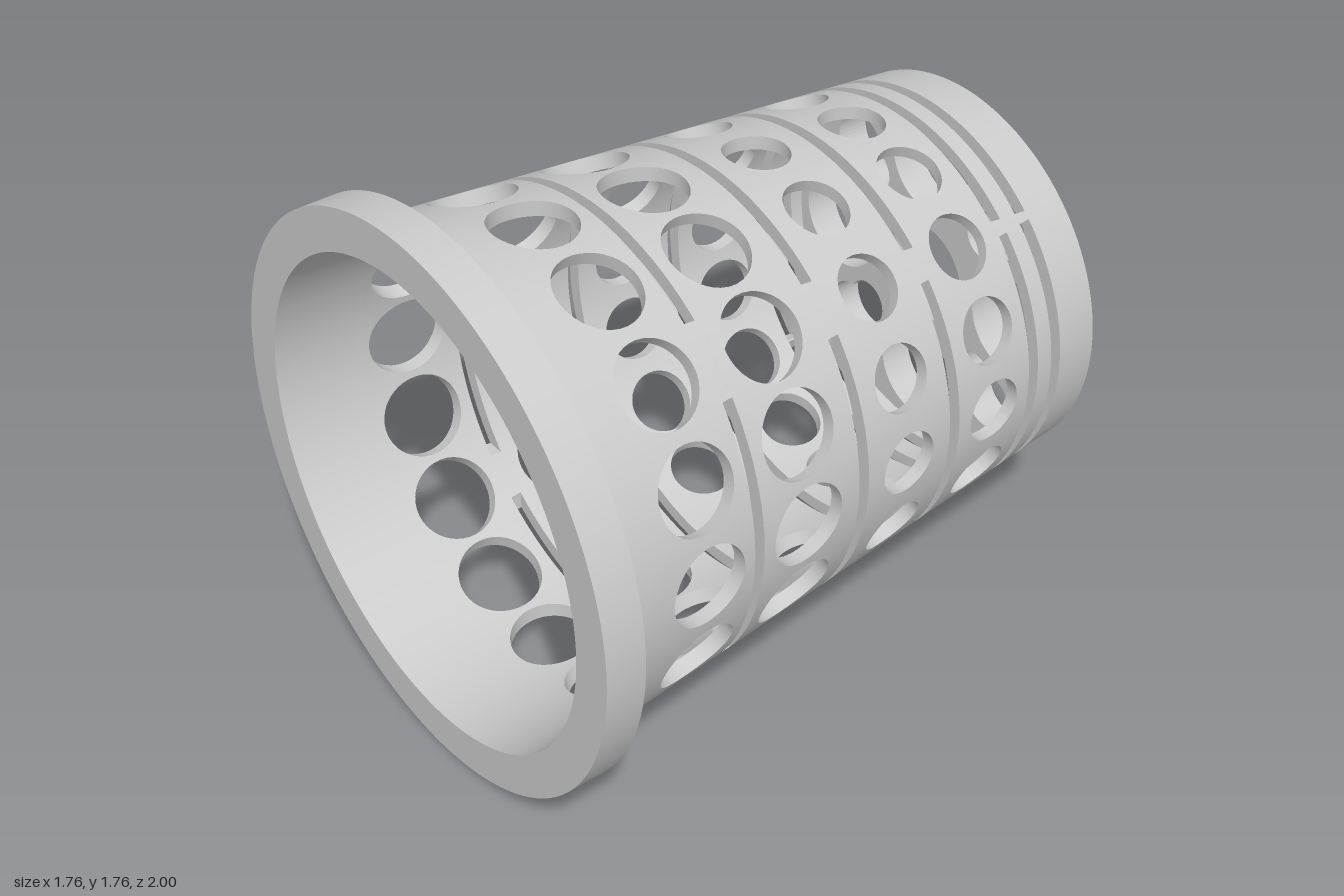
import * as THREE from 'three';
import { toCreasedNormals } from 'three/addons/utils/BufferGeometryUtils.js';

const material = new THREE.MeshStandardMaterial({ color: 0xcccccc });
const SIDE = 12;                        // divisions along each side of a hole cell
const COUNT = 16;                       // holes around each row
const HALF = Math.PI / COUNT;

// Tapered wall: outer and inner radius along the z axis
const outerR = z => 0.713 + 0.088 * z;
const innerR = z => 0.668 + 0.082 * z;
const wall = (R, theta, z) => [R(z) * Math.sin(theta), R(z) * Math.cos(theta), z];

function addMesh(group, geometry, name) {
  const mesh = new THREE.Mesh(toCreasedNormals(geometry, 0.6), material);
  mesh.name = name;
  group.add(mesh);
}

// Collects quads into one geometry
function quadBuilder() {
  const positions = [];
  return {
    quad(a, b, c, d) { positions.push(...a, ...b, ...c, ...a, ...c, ...d); },
    geometry() {
      const g = new THREE.BufferGeometry();
      g.setAttribute('position', new THREE.Float32BufferAttribute(positions, 3));
      return g;
    },
  };
}

// Closed profile of [radius, z] points turned about the z axis
function turned(profile) {
  const points = [...profile, profile[0]].map(([r, z]) => new THREE.Vector2(r, z));
  return new THREE.LatheGeometry(points, COUNT * SIDE).rotateX(Math.PI / 2);
}

const ring = (z0, z1) => turned([[innerR(z0), z0], [outerR(z0), z0], [outerR(z1), z1], [innerR(z1), z1]]);

// Band of the wall pierced by a row of round holes
function perforatedBand(z0, z1, zc, radius) {
  const b = quadBuilder();
  const R = outerR(zc);
  // Outline of one cell, anticlockwise in (angle, z)
  const border = [];
  for (let side = 0; side < 4; side++) {
    for (let i = 0; i < SIDE; i++) {
      const f = i / SIDE, s = (2 * f - 1) * HALF, z = z0 + (z1 - z0) * f;
      border.push([[s, z0], [HALF, z], [-s, z1], [-HALF, z1 + z0 - z]][side]);
    }
  }
  // Point between the hole edge (t = 0) and the cell outline (t = 1)
  const at = (surface, centre, i, t) => {
    const [s, z] = border[i % border.length];
    const a = Math.atan2(z - zc, s * R);
    const hz = zc + radius * Math.sin(a);
    const hs = Math.asin(radius * Math.cos(a) / surface(hz));
    return wall(surface, centre + hs + (s - hs) * t, hz + (z - hz) * t);
  };
  for (let k = 0; k < COUNT; k++) {
    const c = 2 * HALF * k;
    for (let i = 0; i < border.length; i++) {
      const j = i + 1;
      for (const t of [0, 0.5]) {
        const u = t + 0.5;
        b.quad(at(innerR, c, i, t), at(innerR, c, i, u), at(innerR, c, j, u), at(innerR, c, j, t));
        b.quad(at(outerR, c, i, t), at(outerR, c, j, t), at(outerR, c, j, u), at(outerR, c, i, u));
      }
      // Hole lining
      b.quad(at(outerR, c, i, 0), at(innerR, c, i, 0), at(innerR, c, j, 0), at(outerR, c, j, 0));
      // End faces of the band
      if (Math.floor(i / SIDE) % 2 === 0) {
        b.quad(at(innerR, c, j, 1), at(innerR, c, i, 1), at(outerR, c, i, 1), at(outerR, c, j, 1));
      }
    }
  }
  return b.geometry();
}

// Four short ribs bridging a slot; the slots are cut square to x and y
function slotRibs(z0, z1) {
  const b = quadBuilder(), steps = 6;
  const halfWidth = r => Math.max(0.004, Math.PI / 4 - Math.asin(Math.min(0.7071, 0.442 / r)));
  for (let k = 0; k < 4; k++) {
    const at = (surface, i, z) =>
      wall(surface, Math.PI / 4 + k * Math.PI / 2 + halfWidth(surface(z)) * (2 * i / steps - 1), z);
    for (let i = 0; i < steps; i++) {
      b.quad(at(innerR, i, z0), at(innerR, i + 1, z0), at(innerR, i + 1, z1), at(innerR, i, z1));
      b.quad(at(outerR, i, z0), at(outerR, i, z1), at(outerR, i + 1, z1), at(outerR, i + 1, z0));
    }
    b.quad(at(innerR, steps, z0), at(outerR, steps, z0), at(outerR, steps, z1), at(innerR, steps, z1));
    b.quad(at(innerR, 0, z0), at(innerR, 0, z1), at(outerR, 0, z1), at(outerR, 0, z0));
  }
  return b.geometry();
}

// Floor disc with five large holes and four keyhole openings
function floorDisc() {
  const shape = new THREE.Shape().absarc(0, 0, 0.592, 0, Math.PI * 2);
  const circle = (x, y, r) => shape.holes.push(new THREE.Path().absarc(x, y, r, 0, Math.PI * 2));
  circle(0, 0, 0.167);
  for (let k = 0; k < 4; k++) {
    const a = k * Math.PI / 2, d = a + Math.PI / 4;
    circle(0.39 * Math.cos(a), 0.39 * Math.sin(a), 0.167);
    // Two overlapping circles on the diagonal
    const keyhole = new THREE.Path();
    keyhole.absarc(0.45 * Math.cos(d), 0.45 * Math.sin(d), 0.1, d - Math.PI + 0.796, d + Math.PI - 0.796);
    keyhole.absarc(0.357 * Math.cos(d), 0.357 * Math.sin(d), 0.075, d + 1.26, d + 2 * Math.PI - 1.26);
    shape.holes.push(keyhole);
  }
  return new THREE.ExtrudeGeometry(shape, { depth: 0.11, bevelEnabled: false, curveSegments: 40 }).translate(0, 0, -1);
}

export function createModel() {
  const basket = new THREE.Group();
  basket.name = 'perforatedBasket';

  // Rim flange and plain collar in one turned piece
  addMesh(basket, turned([
    [innerR(0.72), 0.72], [outerR(0.72), 0.72], [outerR(0.875), 0.875],
    [0.882, 0.875], [0.882, 1], [innerR(1), 1],
  ]), 'rimAndCollar');

  // Hole rows: start z, end z, hole centre z, hole radius
  const rows = [
    [0.405, 0.72, 0.57, 0.128],
    [0.003, 0.37, 0.2, 0.129],
    [-0.368, -0.035, -0.2, 0.1],
    [-0.71, -0.408, -0.56, 0.1],
  ];
  rows.forEach((row, i) => addMesh(basket, perforatedBand(...row), `holeBand${i + 1}`));

  addMesh(basket, ring(-0.81, -0.75), 'narrowRing');
  addMesh(basket, ring(-1, -0.85), 'baseRing');

  // Slots between the bands
  const slots = [[0.37, 0.405], [-0.035, 0.003], [-0.408, -0.368], [-0.75, -0.71], [-0.85, -0.81]];
  slots.forEach((slot, i) => addMesh(basket, slotRibs(...slot), `slotRibs${i + 1}`));

  addMesh(basket, floorDisc(), 'floor');

  basket.position.y = 0.882;
  const model = new THREE.Group();
  model.add(basket);
  return model;
}
